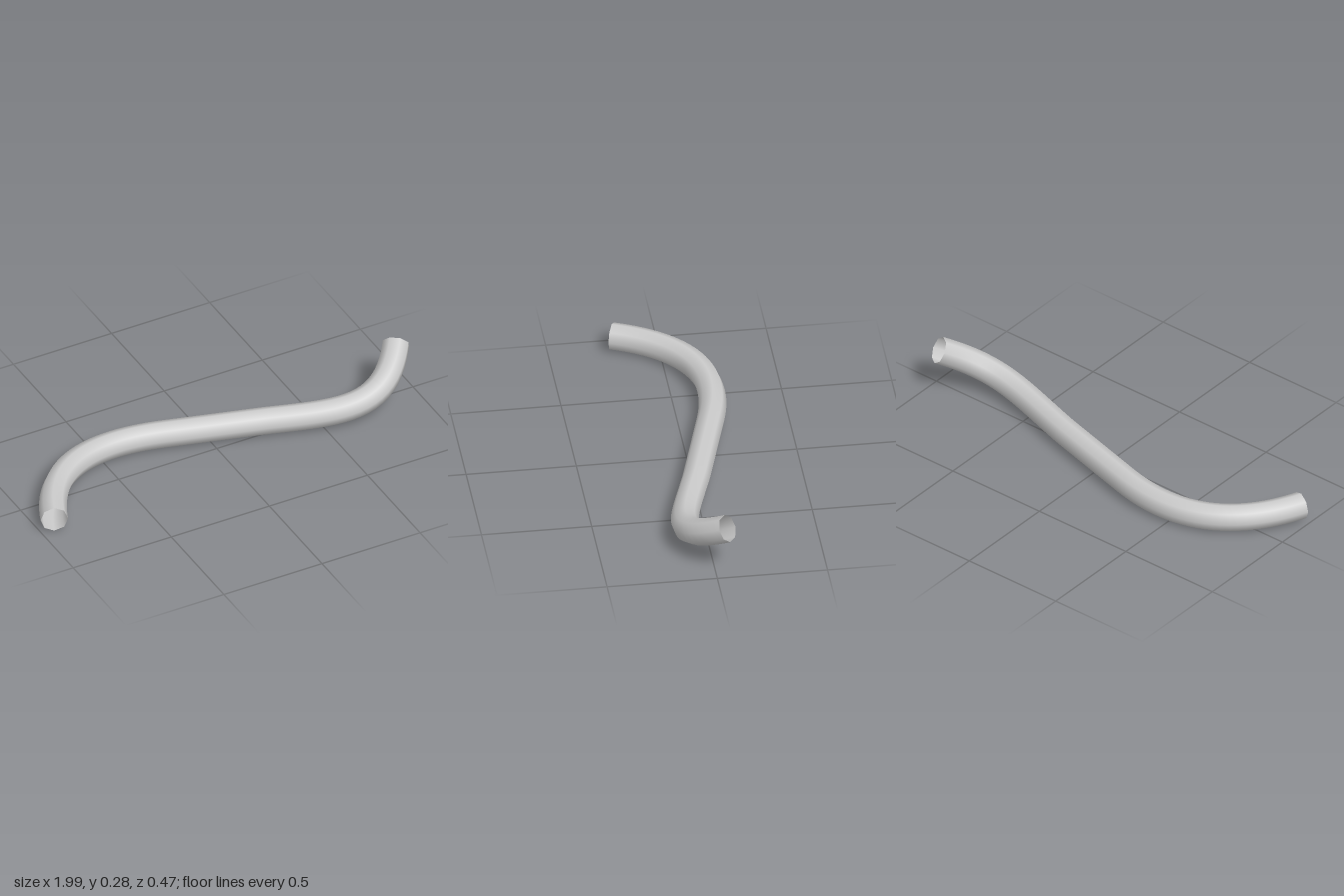
import * as THREE from 'three';

export function createModel() {
  const group = new THREE.Group();
  const v = (x, y, z) => new THREE.Vector3(x, y, z);
  const radius = 0.0625;

  // Centre line: a level bend, a straight run, then a bend that rises to the end
  const bendEnd = v(-0.2, radius, -0.136);
  const riseStart = v(0.25, radius, -0.01);
  const path = new THREE.CurvePath();
  path.add(new THREE.QuadraticBezierCurve3(v(-0.94, radius, 0.209), v(-0.745, radius, -0.288), bendEnd));
  path.add(new THREE.LineCurve3(bendEnd, riseStart));
  path.add(new THREE.CubicBezierCurve3(riseStart, v(0.6, radius, 0.1), v(0.77, 0.072, 0.185), v(0.942, 0.225, -0.054)));

  // Open eight-sided pipe, smooth shaded
  const pipe = new THREE.Mesh(
    new THREE.TubeGeometry(path, 64, radius, 8, false),
    new THREE.MeshStandardMaterial({ color: 0xcccccc, side: THREE.DoubleSide })
  );
  pipe.name = 'pipe';
  group.add(pipe);
  return group;
}
